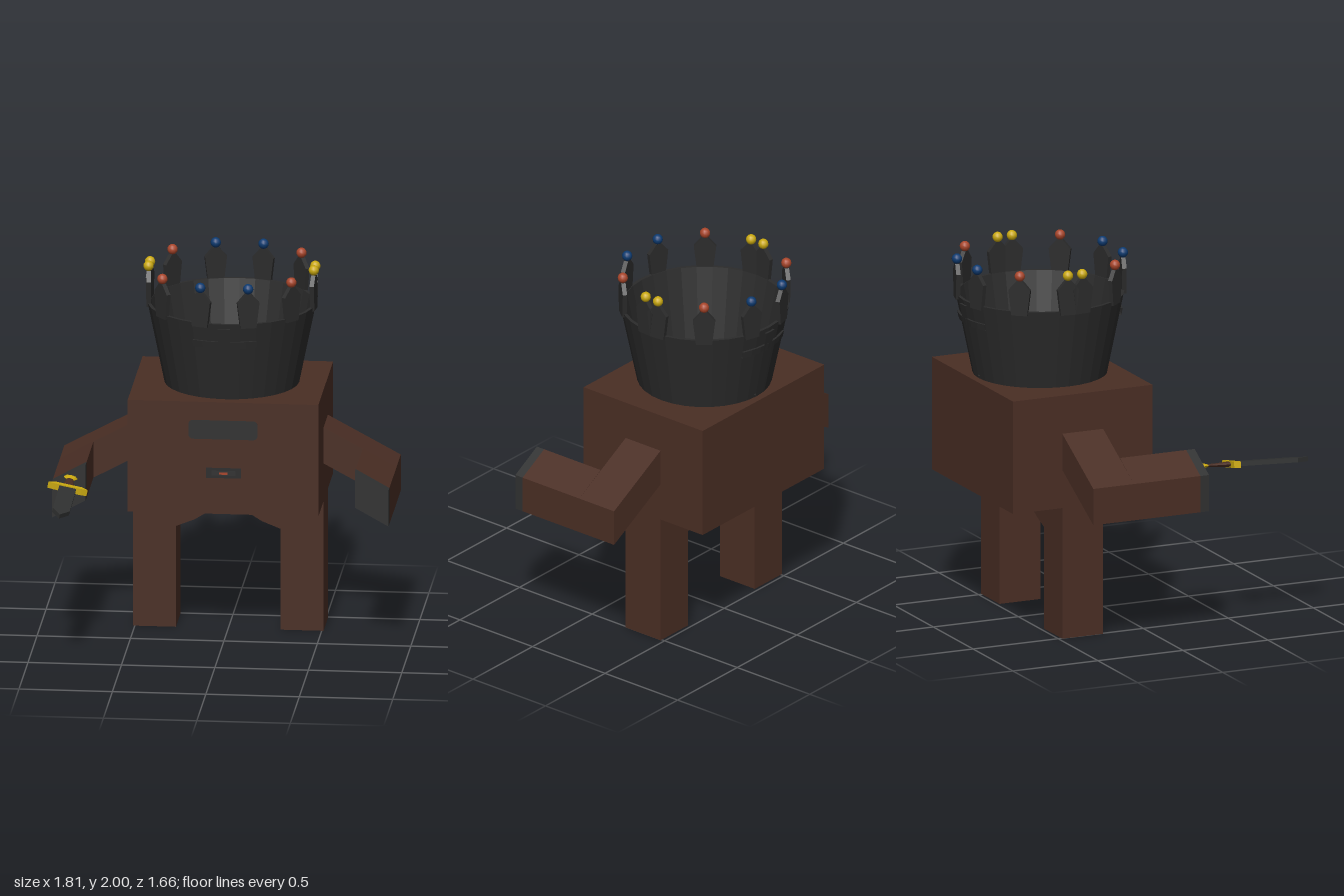
import * as THREE from 'three';

const mat = (name, color) => {
  const m = new THREE.MeshStandardMaterial({ color, side: THREE.DoubleSide });
  m.name = name;
  return m;
};

export function createModel() {
  const brown = mat('brown', 0x4a2e24);
  const grey = mat('dark grey', 0x303131);
  const iron = mat('crown iron', 0x2b2b2b);
  const gold = mat('gold', 0xc9a80f);
  const red = mat('red', 0xa8452a);
  const blue = mat('blue', 0x0c3a70);

  const model = new THREE.Group();
  const add = (name, geometry, material, x = 0, y = 0, z = 0, parent = model) => {
    const mesh = new THREE.Mesh(geometry, material);
    mesh.name = name;
    mesh.position.set(x, y, z);
    parent.add(mesh);
    return mesh;
  };
  const outline = (pts) => new THREE.Shape(pts.map(([x, y]) => new THREE.Vector2(x, y)));
  const prism = (pts, depth) =>
    new THREE.ExtrudeGeometry(outline(pts), { depth, bevelEnabled: false });
  const flat = (g) => {
    const f = g.toNonIndexed();
    f.computeVertexNormals();
    return f;
  };

  // Hollow body: four walls, floor, and a top with a round opening under the crown
  const CX = 0.007, CZ = -0.37;
  const body = new THREE.Group();
  body.name = 'body';
  model.add(body);
  for (const s of [-1, 1]) {
    const face = add('bodyWall', new THREE.PlaneGeometry(1.02, 0.62), brown, 0, 1.03, -0.36 + s * 0.41, body);
    const side = add('bodySide', new THREE.PlaneGeometry(0.82, 0.62), brown, s * 0.51, 1.03, -0.36, body);
    face.rotation.y = s > 0 ? 0 : Math.PI;
    side.rotation.y = s * Math.PI / 2;
  }
  const floor = add('bodyFloor', new THREE.PlaneGeometry(1.02, 0.82), brown, 0, 0.72, -0.36, body);
  floor.rotation.x = Math.PI / 2;
  const topShape = outline([[-0.51, -0.05], [0.51, -0.05], [0.51, 0.77], [-0.51, 0.77]]);
  topShape.holes.push(new THREE.Path().absarc(CX, -CZ, 0.345, 0, Math.PI * 2, true));
  const top = add('bodyTop', new THREE.ShapeGeometry(topShape, 16), brown, 0, 1.34, 0, body);
  top.rotation.x = -Math.PI / 2;

  // Legs with the arch between them, and bent arms
  for (const s of [-1, 1]) {
    const m = (pts) => pts.map(([x, y]) => [x * s, y]);
    add('leg', prism(m([[0.28, 0], [0.51, 0], [0.51, 0.72], [0, 0.72],
      [0.1, 0.65], [0.18, 0.6], [0.28, 0.56]]), 0.24), brown, 0, 0, -0.48);
    add('upperArm', prism(m([[0.51, 0.93], [0.9, 0.72], [0.9, 0.92], [0.51, 1.13]]), 0.24), brown, 0, 0, -0.48);
    const slice = m([[0.72, 0.82], [0.9, 0.72], [0.9, 0.92], [0.72, 1.02]]);
    add('forearm', prism(slice, 0.39), brown, 0, 0, -0.24);
    add('hand', prism(slice, 0.05), grey, 0, 0, 0.15);
  }

  // Face
  const visor = new THREE.Shape();
  const w = 0.185, h = 0.052, r = 0.025;
  visor.absarc(w - r, h - r, r, 0, Math.PI / 2);
  visor.absarc(-w + r, h - r, r, Math.PI / 2, Math.PI);
  visor.absarc(-w + r, -h + r, r, Math.PI, Math.PI * 1.5);
  visor.absarc(w - r, -h + r, r, Math.PI * 1.5, Math.PI * 2);
  add('visor', new THREE.ExtrudeGeometry(visor, { depth: 0.004, bevelEnabled: false, curveSegments: 4 }),
    grey, 0, 1.187, 0.05);
  add('mouth', new THREE.BoxGeometry(0.185, 0.055, 0.006), iron, 0.003, 0.948, 0.052);
  add('mouthSlot', new THREE.BoxGeometry(0.13, 0.026, 0.003), grey, 0.003, 0.948, 0.056);
  add('tongue', new THREE.BoxGeometry(0.045, 0.012, 0.003), red, 0.003, 0.947, 0.0585);

  // Crown: flared ring with a raised cross at front and back
  const crown = new THREE.Group();
  crown.name = 'crown';
  crown.position.set(CX, 0, CZ);
  model.add(crown);
  const radius = (y) => 0.36 + (y - 1.34) * 0.205;
  const band = (y0, y1, inner, outer, segments, phi, arc) => flat(new THREE.LatheGeometry([
    [radius(y0) + inner, y0], [radius(y0) + outer, y0], [radius(y1) + outer, y1],
    [radius(y1) + inner, y1], [radius(y0) + inner, y0],
  ].map(([x, y]) => new THREE.Vector2(x, y)), segments, phi, arc));
  add('crownRing', band(1.34, 1.78, -0.018, 0, 32, 0, Math.PI * 2), iron, 0, 0, 0, crown);
  for (const phi of [0, Math.PI]) {
    add('crossUpright', band(1.36, 1.755, -0.005, 0.012, 1, phi - 0.075, 0.15), iron, 0, 0, 0, crown);
    add('crossBar', band(1.643, 1.68, -0.005, 0.012, 6, phi - 0.4, 0.8), iron, 0, 0, 0, crown);
  }

  // Twelve crown points, each tipped with a bead
  const point = prism([[-0.043, 1.76], [0.043, 1.76], [0.06, 1.9], [0.016, 1.95], [-0.016, 1.95], [-0.06, 1.9]], 0.024);
  point.translate(0, 0, -0.012);
  const bead = new THREE.SphereGeometry(0.028, 12, 8);
  for (const [x, z, m] of [[0.128, 0.428, blue], [0.345, 0.28, red], [0.442, 0.042, gold]]) {
    for (const sx of [-1, 1]) for (const sz of [-1, 1]) {
      const p = add('crownPoint', point, iron, x * sx, 0, z * sz, crown);
      p.rotation.y = Math.atan2(x * sx, z * sz);
      add('crownBead', bead, m, x * sx, 1.975, z * sz, crown);
    }
  }

  // Sword held forward in the right hand, built along +z from the hand
  const sword = new THREE.Group();
  sword.name = 'sword';
  sword.position.set(-0.8, 0.945, 0.2);
  sword.rotation.set(0.05, 0, -0.2);
  model.add(sword);
  const turned = (pts, segments) => flat(new THREE.LatheGeometry(
    pts.map(([x, y]) => new THREE.Vector2(x, y)), segments).rotateX(Math.PI / 2));
  add('pommel', turned([[0, 0], [0.036, 0], [0.036, 0.012], [0.02, 0.035], [0, 0.035]], 8), gold, 0, 0, 0, sword)
    .scale.y = 0.4;
  add('grip', turned([[0.018, 0.025], [0.024, 0.08], [0.038, 0.165]], 8), brown, 0, 0, 0, sword)
    .scale.y = 0.4;
  const guard = prism([[-0.075, 0.16], [0.075, 0.16], [0.107, 0.185], [0.075, 0.19],
    [-0.075, 0.19], [-0.107, 0.185]], 0.035);
  guard.rotateX(Math.PI / 2).translate(0, 0.0175, 0);
  add('guard', guard, gold, 0, 0, 0, sword);
  const blade = prism([[-0.046, 0.18], [0.046, 0.18], [0.046, 0.55], [0, 0.63], [-0.046, 0.55]], 0.024);
  blade.rotateX(Math.PI / 2).translate(0, 0.012, 0);
  add('blade', blade, grey, 0, 0, 0, sword);

  return model;
}
